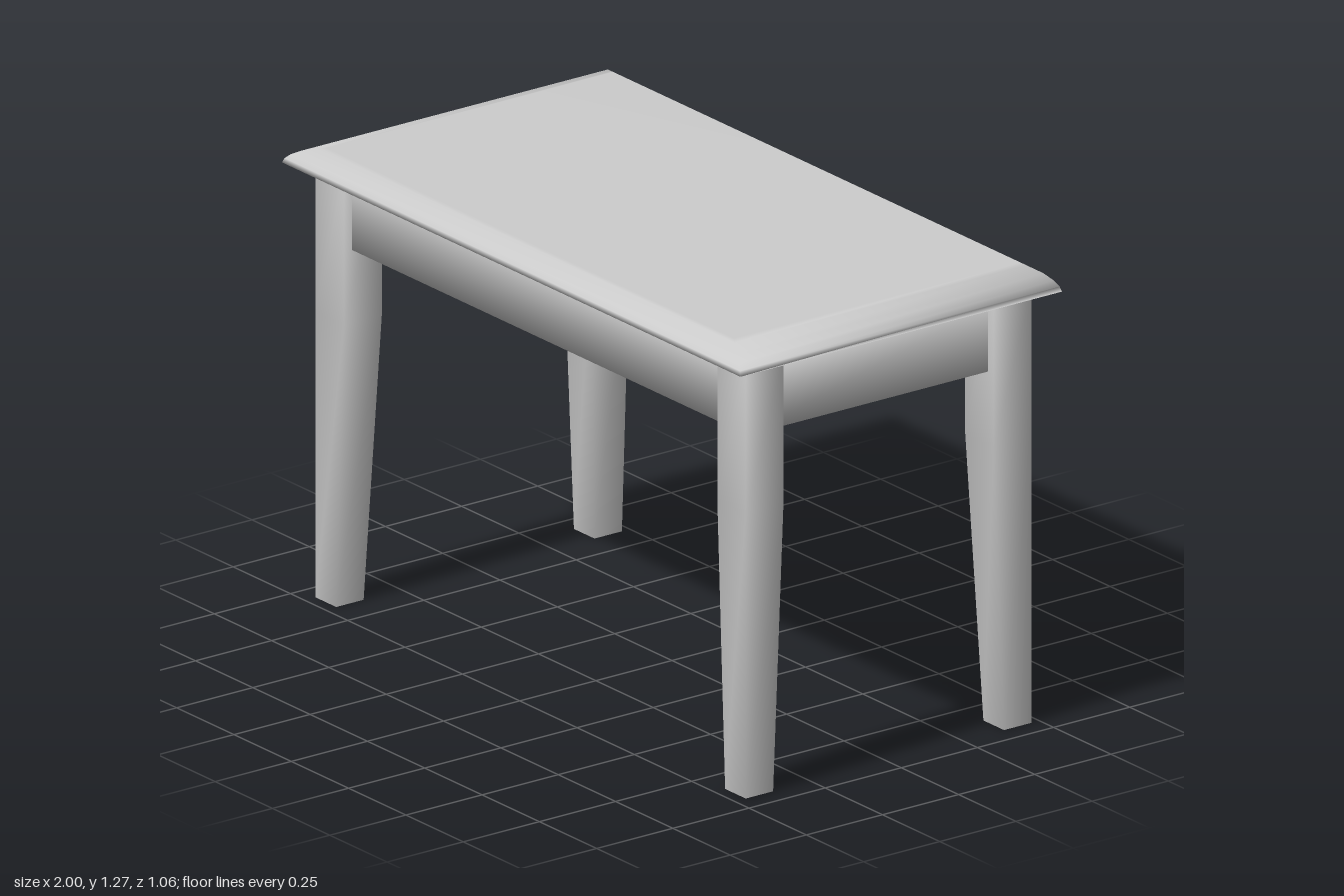
import * as THREE from 'three';

const material = new THREE.MeshStandardMaterial({ color: 0xcccccc });

// Closed, smooth-shaded solid lofted through rectangles [y, x0, x1, z0, z1], bottom to top
function loft(name, sections) {
  const positions = [];
  const index = [];
  for (const [y, x0, x1, z0, z1] of sections) {
    positions.push(x0, y, z1, x1, y, z1, x1, y, z0, x0, y, z0);
  }
  for (let s = 0; s < sections.length - 1; s++) {
    for (let i = 0; i < 4; i++) {
      const a = s * 4 + i;
      const b = s * 4 + (i + 1) % 4;
      index.push(a, b, b + 4, a, b + 4, a + 4);
    }
  }
  const t = (sections.length - 1) * 4;
  index.push(0, 2, 1, 0, 3, 2, t, t + 1, t + 2, t, t + 2, t + 3);
  const geometry = new THREE.BufferGeometry();
  geometry.setAttribute('position', new THREE.Float32BufferAttribute(positions, 3));
  geometry.setIndex(index);
  geometry.computeVertexNormals();
  const mesh = new THREE.Mesh(geometry, material);
  mesh.name = name;
  return mesh;
}

export function createModel() {
  const table = new THREE.Group();
  table.name = 'table';
  const zMid = -0.005; // the base sits slightly back under the top
  const underside = 1.215;

  // Tabletop with a rounded edge: [inset fraction, height fraction]
  const edge = [[0, 0], [0.06, 0.22], [0.2, 0.45], [0.45, 0.7], [0.85, 0.92], [1, 1]];
  table.add(loft('tabletop', edge.map(([inset, rise]) => {
    const x = 1 - 0.112 * inset;
    const z = 0.528 - 0.058 * inset;
    return [underside + 0.06 * rise, -x, x, zMid * inset - z, zMid * inset + z];
  })));

  // Apron block, set back a little from the outer leg faces
  const apron = [-0.913, 0.913, zMid - 0.443, zMid + 0.443];
  table.add(loft('apron', [[1.005, ...apron], [underside, ...apron]]));

  // Legs: straight outer faces, inner faces taper below the knee
  const legProfile = [[0, 0.09], [0.8, 0.124], [underside, 0.124]];
  for (const [side, sx] of [['Right', -1], ['Left', 1]]) {
    for (const [end, sz] of [['front', 1], ['back', -1]]) {
      table.add(loft(`${end}${side}Leg`, legProfile.map(([y, w]) => {
        const xs = [sx * 0.938, sx * (0.938 - w)].sort((a, b) => a - b);
        const zs = [zMid + sz * 0.469, zMid + sz * (0.469 - w)].sort((a, b) => a - b);
        return [y, ...xs, ...zs];
      })));
    }
  }
  return table;
}
